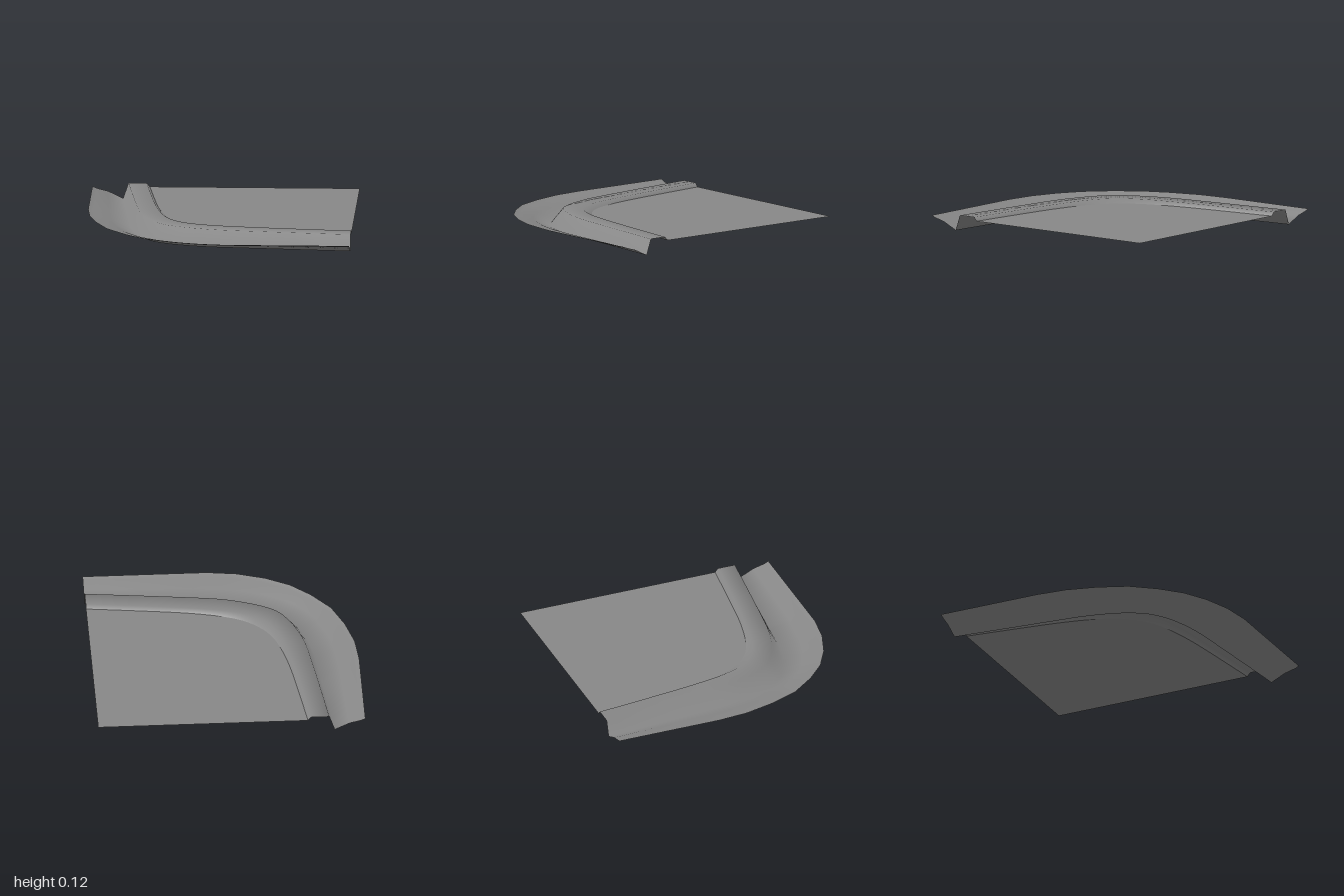
import * as THREE from 'three';

// Outer rail in plan [x, z], from the back edge round to the left edge
const OUTER = [[-1, -1], [-1, -0.6], [-1, -0.2], [-0.98, 0.03], [-0.92, 0.26], [-0.83, 0.48], [-0.69, 0.66],
  [-0.54, 0.8], [-0.36, 0.9], [-0.15, 0.97], [0.07, 1], [0.5, 1], [1, 1]];
// Half rails, from the back edge to the corner's diagonal
const KERB = [[-0.73, -1], [-0.69, -0.65], [-0.65, -0.32], [-0.61, -0.03], [-0.565, 0.14], [-0.5, 0.3], [-0.42, 0.42]];
const INNER = [[-0.57, -1], [-0.53, -0.67], [-0.48, -0.3], [-0.435, -0.08], [-0.39, 0.07], [-0.335, 0.18], [-0.265, 0.265]];
const STEPS = 4;                       // stations per rail segment
const STATIONS = (OUTER.length - 1) * STEPS;
const GROUND = 0.09;

const toVectors = list => list.map(([x, z]) => new THREE.Vector2(x, z));

// Sample one point per station
const sample = pointAt => Array.from({ length: STATIONS + 1 }, (_, i) => pointAt(i));

// Mirror a half rail across the diagonal and sample it as a smooth curve
function smoothRail(half) {
  const mirrored = half.slice(0, -1).reverse().map(([x, z]) => [-z, -x]);
  const spline = new THREE.SplineCurve(toVectors([...half, ...mirrored]));
  return sample(i => spline.getPoint(i / STATIONS));
}

// Sample a rail with straight segments
function straightRail(list) {
  const pts = toVectors(list);
  return sample(i => {
    const k = Math.min(Math.floor(i / STEPS), pts.length - 2);
    return pts[k].clone().lerp(pts[k + 1], i / STEPS - k);
  });
}

// Loft of cross-sections: each is a row of Vector3
function loft(rows) {
  const n = rows[0].length, last = rows.length - 1, index = [];
  for (let i = 0; i < last; i++) {
    for (let k = 0; k < n - 1; k++) {
      const a = i * n + k, b = a + n;
      index.push(a, b, a + 1, b, b + 1, a + 1);
    }
  }
  const geo = new THREE.BufferGeometry().setFromPoints(rows.flat());
  geo.setIndex(index);
  geo.computeVertexNormals();
  // The cut ends shade like the sections next to them
  const normals = geo.attributes.normal;
  for (let k = 0; k < n; k++) {
    normals.copyAt(k, normals, n + k);
    normals.copyAt(last * n + k, normals, (last - 1) * n + k);
  }
  return geo;
}

export function createModel() {
  const group = new THREE.Group();
  group.name = 'roadCorner';
  const material = new THREE.MeshStandardMaterial({ color: 0x878787, side: THREE.DoubleSide });
  const add = (name, geo) => {
    const mesh = new THREE.Mesh(geo, material);
    mesh.name = name;
    group.add(mesh);
  };

  const outer = straightRail(OUTER);
  const kerb = smoothRail(KERB);
  const inner = smoothRail(INNER);
  const mix = THREE.MathUtils.lerp;

  // Banked outer strip, gutter and kerb; the kerb softens towards the corner
  const rows = outer.map((o, i) => {
    const t = 1 - Math.abs(i / STATIONS * 2 - 1);
    const soft = THREE.MathUtils.smoothstep(t, 0.25, 1);
    const gutter = kerb[i].clone().lerp(o, mix(0.15, 0.26, soft));
    const lip = inner[i].clone().lerp(kerb[i], mix(0.15, 0.3, soft));
    const at = (p, y) => new THREE.Vector3(p.x, y, p.y);
    return [
      at(o, GROUND),
      at(o.clone().lerp(gutter, 0.13), 0.076),
      at(o.clone().lerp(gutter, 0.52), 0.053),
      at(gutter, 0),
      at(kerb[i], 0.118),
      at(lip, 0.118),
      at(inner[i], GROUND),
    ];
  });
  add('roadEdgeAndKerb', loft(rows));

  // Flat ground inside the kerb
  const shape = new THREE.Shape([...inner, new THREE.Vector2(1, -1)].map(p => new THREE.Vector2(p.x, -p.y)));
  add('flatGround', new THREE.ShapeGeometry(shape).rotateX(-Math.PI / 2).translate(0, GROUND, 0));

  return group;
}
